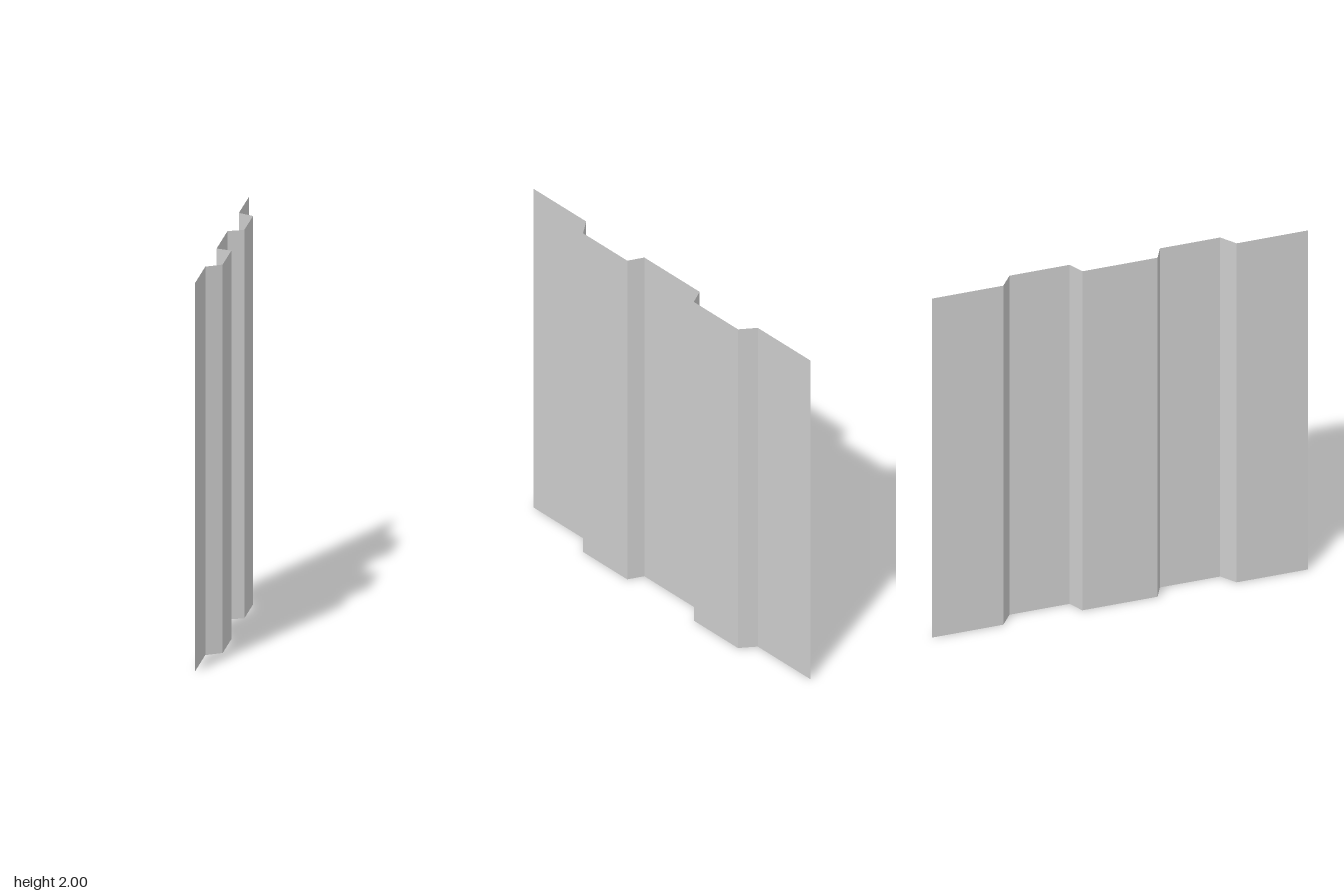
import * as THREE from 'three';

const HEIGHT = 2;
const DEPTH = 0.04; // half depth of the corrugation

// Half of the fold line as [x, z], from the front edge towards the middle
const half = [
  [-DEPTH, 1], [-DEPTH, 0.62], [DEPTH, 0.56], [DEPTH, 0.24], [-DEPTH, 0.2],
];

export function createModel() {
  const group = new THREE.Group();
  group.name = 'corrugatedPanel';

  // Mirror the fold line to the back edge
  const profile = [...half, ...half.map(([x, z]) => [x, -z]).reverse()];

  // One upright quad per fold, outer face towards +x
  const positions = [];
  for (let i = 0; i < profile.length - 1; i++) {
    const [x0, z0] = profile[i];
    const [x1, z1] = profile[i + 1];
    positions.push(x0, 0, z0, x1, 0, z1, x1, HEIGHT, z1);
    positions.push(x0, 0, z0, x1, HEIGHT, z1, x0, HEIGHT, z0);
  }
  const geometry = new THREE.BufferGeometry();
  geometry.setAttribute('position', new THREE.Float32BufferAttribute(positions, 3));
  geometry.computeVertexNormals();

  const sheet = new THREE.Mesh(geometry, new THREE.MeshStandardMaterial({
    color: 0xcccccc, flatShading: true, side: THREE.DoubleSide,
  }));
  sheet.name = 'foldedSheet';
  group.add(sheet);
  return group;
}
